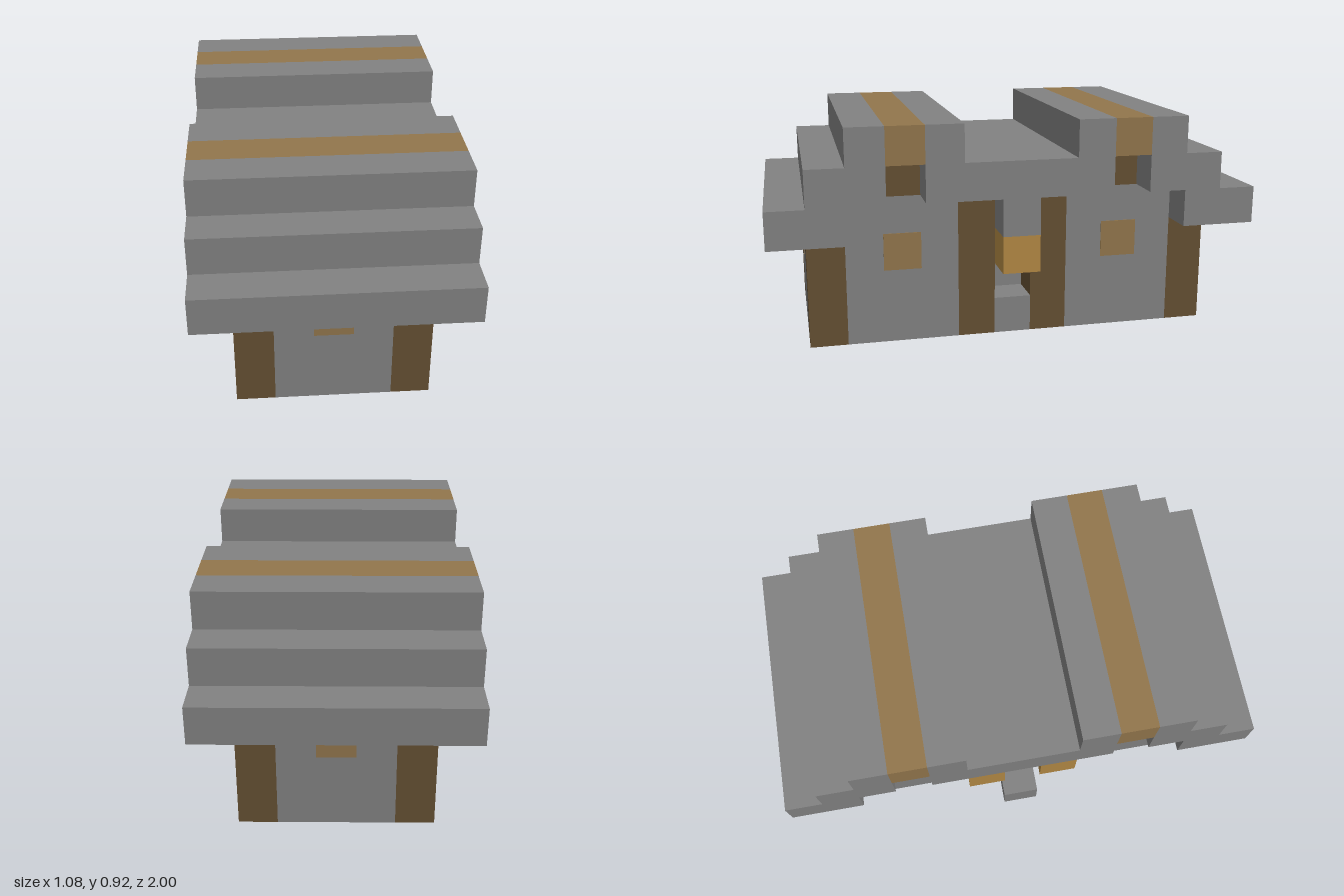
import * as THREE from 'three';

const U = 2 / 13; // one building block

export function createModel() {
  const model = new THREE.Group();
  const material = (name, color) => {
    const m = new THREE.MeshStandardMaterial({ color });
    m.name = name;
    return m;
  };
  const stone = material('grey stone', 0x828282);
  const timber = material('dark timber', 0x655033);
  const tan = material('tan panel', 0x92764c);
  const amber = material('amber lamp', 0xb38944);

  // Box between two corners, measured in blocks
  const box = (name, mat, x0, x1, y0, y1, z0, z1) => {
    const [za, zb] = [Math.min(z0, z1), Math.max(z0, z1)];
    const [xa, xb] = [Math.min(x0, x1), Math.max(x0, x1)];
    const mesh = new THREE.Mesh(new THREE.BoxGeometry((xb - xa) * U, (y1 - y0) * U, (zb - za) * U), mat);
    mesh.position.set((xa + xb) / 2 * U, (y0 + y1) / 2 * U, (za + zb) / 2 * U);
    mesh.name = name;
    model.add(mesh);
  };

  // Solid core, path through the middle and doorstep
  box('core', stone, -1.5, 1.5, 1, 4, -4.5, 4.5);
  box('pathAndStep', stone, -3.5, 2.5, 0, 1, -0.5, 0.5);
  // Lintels above the two central recesses
  box('rightLintel', stone, 1.5, 2.5, 2, 4, -0.5, 0.5);
  box('leftLintel', stone, -2.5, -1.5, 3, 4, -0.5, 0.5);

  for (const s of [1, -1]) {
    // Floor ring with a stone centre
    box('floorInner', timber, -1.5, 1.5, 0, 1, s * 0.5, s * 1.5);
    box('floorOuter', timber, -1.5, 1.5, 0, 1, s * 3.5, s * 4.5);
    box('floorCentre', stone, -0.5, 0.5, 0, 1, s * 1.5, s * 3.5);

    // End wall and its window
    box('endWall', stone, -1.5, 1.5, 0, 3, s * 4.5, s * 5.5);
    box('endWindow', tan, -0.5, 0.5, 2, 3, s * 5.5, s * 5.52);

    for (const t of [1, -1]) {
      box('floorSide', timber, t * 0.5, t * 1.5, 0, 1, s * 1.5, s * 3.5);
      box('sideWall', stone, t * 1.5, t * 2.5, 0, 4, s * 1.5, s * 4.5);
      box('sideWindow', tan, t * 2.5, t * 2.52, 2, 3, s * 2.5, s * 3.5);
      box('cornerPost', timber, t * 1.5, t * 2.5, 0, 3, s * 4.5, s * 5.5);
      box('doorPost', timber, t * 1.5, t * 2.5, 0, 4, s * 0.5, s * 1.5);
    }

    // Stepped roof
    box('eaves', stone, -3.5, 3.5, 3, 4, s * 4.5, s * 6.5);
    box('roofStep', stone, -3.5, 3.5, 4, 5, s * 3.5, s * 5.5);
    box('ridgeBeam', timber, -2.5, 2.5, 4, 5, s * 2.5, s * 3.5);
    box('ridgeOuter', stone, -3.5, 3.5, 5, 6, s * 3.5, s * 4.5);
    box('ridgeStripe', tan, -3.5, 3.5, 5, 6, s * 2.5, s * 3.5);
    box('ridgeInner', stone, -3.5, 3.5, 5, 6, s * 1.5, s * 2.5);

    // Lamps under the eaves on either side of the door
    box('doorLamp', amber, -3.5, -2.5, 3, 4, s * 0.5, s * 1.5);
  }
  box('roofValley', stone, -3.5, 3.5, 4, 5, -2.5, 2.5);

  // Hanging lamp on the opposite side
  box('lampBracket', stone, 2.5, 3.5, 3, 4, -0.5, 0.5);
  box('hangingLamp', amber, 2.5, 3.5, 2, 3, -0.5, 0.5);

  return model;
}
